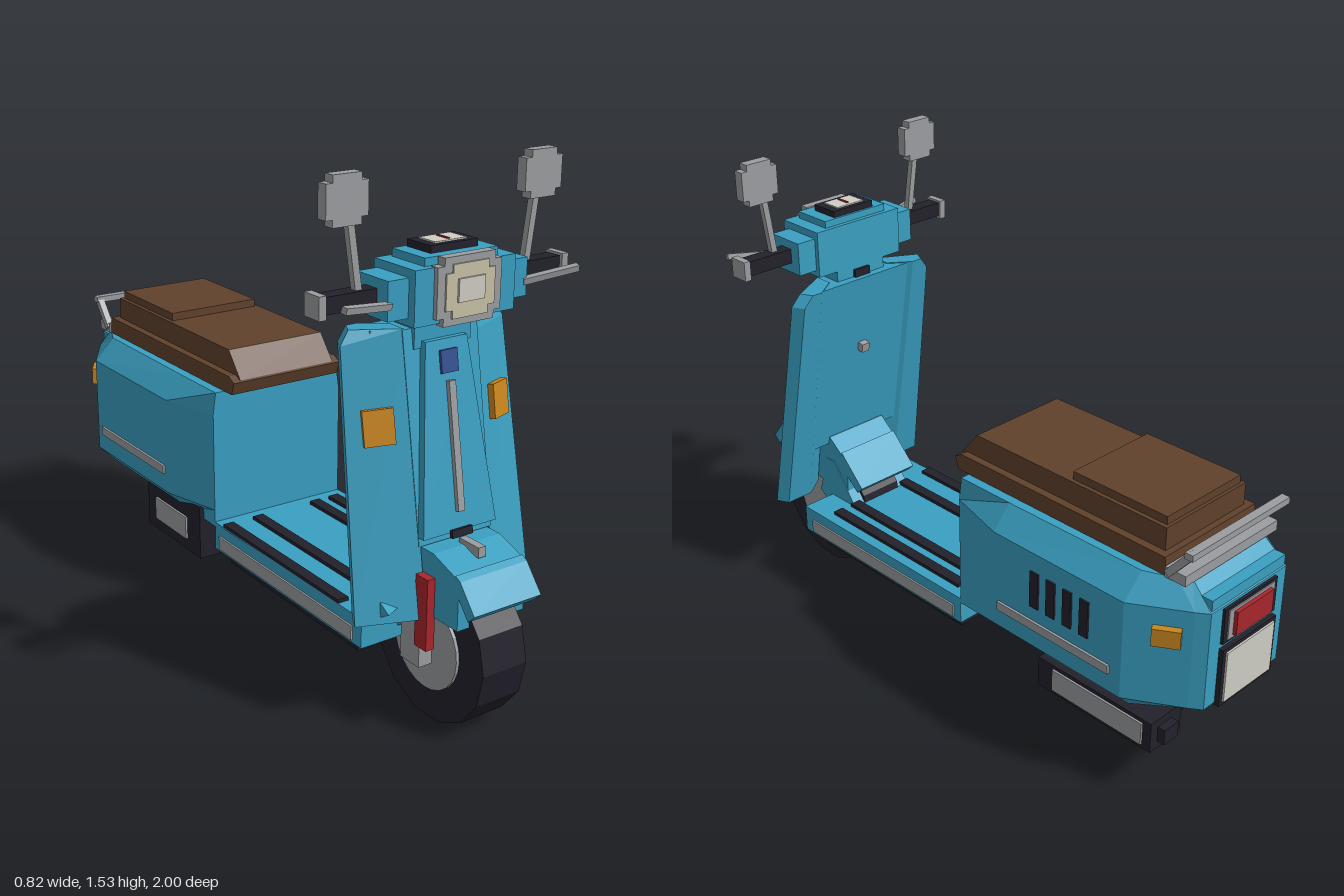
import * as THREE from 'three';

const mat = (name, color) => Object.assign(new THREE.MeshStandardMaterial({ color, flatShading: true }), { name });

export function createModel() {
  const blue = mat('teal paint', 0x3a9fc1), brown = mat('seat leather', 0x5f412b);
  const dark = mat('black rubber', 0x22212b), grey = mat('grey metal', 0x9b9da0);
  const cream = mat('lamp cream', 0xc6c2a6), pale = mat('pale lens', 0xcfcdc4);
  const orange = mat('amber lens', 0xc9861e), red = mat('red lens', 0xa8262c), navy = mat('navy badge', 0x31508f);
  const root = new THREE.Group();
  root.name = 'scooter';

  const add = (name, m, geo, pos = [0, 0, 0], rot = [0, 0, 0]) => {
    const mesh = new THREE.Mesh(geo, m);
    mesh.name = name;
    mesh.position.set(...pos);
    mesh.rotation.set(...rot);
    root.add(mesh);
    return mesh;
  };
  // box from its extents on each axis
  const box = (name, m, x0, x1, y0, y1, z0, z1) =>
    add(name, m, new THREE.BoxGeometry(x1 - x0, y1 - y0, z1 - z0), [(x0 + x1) / 2, (y0 + y1) / 2, (z0 + z1) / 2]);
  const pairBox = (name, m, x0, x1, ...r) => { box(name, m, x0, x1, ...r); box(name, m, -x1, -x0, ...r); };
  // plus-shaped block with stepped corners
  const stepped = (name, m, cx, cy, w, h, step, z0, z1) => {
    box(name, m, cx - w / 2, cx + w / 2, cy - h / 2 + step, cy + h / 2 - step, z0, z1);
    box(name, m, cx - w / 2 + step, cx + w / 2 - step, cy - h / 2, cy + h / 2, z0, z1);
  };
  // side profile of [z, y] points extruded across the width
  const profile = (name, m, pts, w) => {
    const shape = new THREE.Shape(pts.map(([z, y]) => new THREE.Vector2(z, y)));
    const geo = new THREE.ExtrudeGeometry(shape, { depth: w, bevelEnabled: false });
    return add(name, m, geo.translate(0, 0, -w / 2).rotateY(-Math.PI / 2));
  };
  // loft through horizontal rings, bottom to top, each counter-clockwise from above
  const loft = (name, m, rings) => {
    const n = rings[0].length, idx = [], top = (rings.length - 1) * n;
    for (let i = 0; i < rings.length - 1; i++)
      for (let j = 0; j < n; j++) {
        const a = i * n + j, b = i * n + (j + 1) % n;
        idx.push(a, b, b + n, a, b + n, a + n);
      }
    for (let j = 1; j < n - 1; j++) idx.push(top, top + j, top + j + 1, 0, j + 1, j);
    const geo = new THREE.BufferGeometry();
    geo.setAttribute('position', new THREE.Float32BufferAttribute(rings.flat(2), 3));
    geo.setIndex(idx);
    const flat = geo.toNonIndexed();
    flat.computeVertexNormals();
    return add(name, m, flat);
  };
  const rod = (name, m, a, b, t) => {
    const A = new THREE.Vector3(...a), d = new THREE.Vector3(...b).sub(A);
    const mesh = add(name, m, new THREE.BoxGeometry(t, d.length(), t));
    mesh.position.copy(A).addScaledVector(d, 0.5);
    mesh.quaternion.setFromUnitVectors(new THREE.Vector3(0, 1, 0), d.normalize());
  };

  // wheels
  for (const [name, z] of [['front', 0.77], ['rear', -0.565]]) {
    const turn = [0, 0, Math.PI / 2];
    add(name + 'Tyre', dark, new THREE.CylinderGeometry(0.23, 0.23, 0.15, 14), [0, 0.228, z], turn);
    add(name + 'Hub', grey, new THREE.CylinderGeometry(0.133, 0.133, 0.17, 24), [0, 0.228, z], turn);
  }

  // front mudguard, fork and spring
  profile('frontMudguard', blue, [[0.935, 0.345], [0.935, 0.49], [0.83, 0.527], [0.68, 0.527], [0.595, 0.46], [0.595, 0.345]], 0.23);
  profile('mudguardFrontLip', blue, [[0.92, 0.5], [0.92, 0.46], [0.975, 0.39], [1, 0.415], [0.94, 0.49]], 0.23);
  profile('mudguardRearLip', blue, [[0.62, 0.49], [0.52, 0.39], [0.545, 0.365], [0.62, 0.43]], 0.23);
  box('mudguardTrim', grey, -0.012, 0.012, 0.51, 0.54, 0.81, 0.89);
  box('forkArm', grey, -0.13, -0.08, 0.18, 0.34, 0.72, 0.8);
  box('frontSpring', red, -0.14, -0.112, 0.25, 0.46, 0.79, 0.84);

  // floorboard
  box('floorboard', blue, -0.235, 0.235, 0.215, 0.305, -0.09, 0.68);
  profile('toeBoard', blue, [[0.66, 0.305], [0.56, 0.305], [0.66, 0.44], [0.7, 0.44], [0.745, 0.3], [0.69, 0.255]], 0.235);
  box('floorUnderside', dark, -0.2, 0.2, 0.17, 0.216, -0.055, 0.62);
  for (const x of [-0.217, -0.108, 0.108, 0.181]) box('floorStrip', dark, x - 0.018, x + 0.018, 0.3, 0.316, -0.04, 0.57);
  pairBox('floorSideTrim', grey, 0.232, 0.241, 0.225, 0.268, -0.06, 0.64);

  // leg shield, leaning back as it rises
  const zf = y => 0.815 - (y - 0.33) * 0.165;
  const lean = -0.163;
  for (const s of [1, -1]) {
    const rings = [[0.33, 0.305], [1.07, 0.275], [1.108, 0.245]].map(([y, w]) => {
      const r = [[w, zf(y) - 0.07], [w - 0.02, zf(y) - 0.11], [0.19, zf(y) - 0.11], [0.12, zf(y) - 0.06], [0.12, zf(y)]]
        .map(([x, z]) => [x * s, y, z]);
      return s > 0 ? r : r.reverse();
    });
    loft('legShieldWing', blue, rings);
    add('frontIndicator', orange, new THREE.BoxGeometry(0.085, 0.097, 0.03), [s * 0.203, 0.858, zf(0.858) - 0.034], [lean, s * 0.4, 0]);
    add('wingBump', blue, new THREE.ConeGeometry(0.026, 0.055, 3), [s * 0.21, 0.37, zf(0.37) - 0.032], [0, 0, s * Math.PI / 2]);
  }
  const slab = (y, w, back, front) => [[w, y, zf(y) + back], [-w, y, zf(y) + back], [-w, y, zf(y) + front], [w, y, zf(y) + front]];
  loft('legShieldCentre', blue, [slab(0.5, 0.2, -0.1, -0.04), slab(1.105, 0.2, -0.1, -0.04)]);
  loft('legShieldInfill', blue, [slab(0.53, 0.125, -0.05, 0), slab(1.105, 0.125, -0.05, 0)]);
  loft('centreRidge', blue, [slab(0.555, 0.125, -0.02, 0.022), slab(1.07, 0.07, -0.02, 0.022)]);
  const plate = (name, m, y, w, h, d = 0.012) => add(name, m, new THREE.BoxGeometry(w, h, d), [0, y, zf(y) + 0.026], [lean, 0, 0]);
  plate('ridgeTrim', grey, 0.785, 0.022, 0.355, 0.018);
  plate('badgePlate', navy, 1.012, 0.056, 0.062, 0.008);
  plate('hornSlot', dark, 0.552, 0.07, 0.022);
  add('bagHook', grey, new THREE.BoxGeometry(0.03, 0.03, 0.025), [0, 0.85, zf(0.85) - 0.11], [lean, 0, 0]);

  // steering head
  box('neck', blue, -0.095, 0.095, 1.05, 1.15, 0.615, 0.7);
  box('keySlot', dark, -0.03, 0.03, 1.1, 1.13, 0.605, 0.62);
  box('headCentre', blue, -0.12, 0.12, 1.14, 1.31, 0.63, 0.765);
  box('headMiddle', blue, -0.165, 0.165, 1.14, 1.288, 0.615, 0.785);
  box('headOuter', blue, -0.23, 0.23, 1.16, 1.265, 0.63, 0.76);
  stepped('headlightFrame', grey, 0, 1.222, 0.21, 0.18, 0.022, 0.77, 0.799);
  stepped('headlight', cream, 0, 1.222, 0.16, 0.142, 0.022, 0.775, 0.804);
  box('headlightBulb', pale, -0.043, 0.043, 1.193, 1.255, 0.79, 0.81);
  box('gaugeFrame', dark, -0.078, 0.078, 1.305, 1.33, 0.638, 0.735);
  box('gaugeFace', pale, -0.052, 0.052, 1.325, 1.334, 0.652, 0.72);
  box('gaugeNeedle', red, -0.004, 0.004, 1.33, 1.337, 0.665, 0.71);

  // handlebar ends, levers and mirrors
  pairBox('grip', dark, 0.22, 0.395, 1.192, 1.238, 0.668, 0.715);
  pairBox('gripEnd', grey, 0.39, 0.412, 1.183, 1.245, 0.66, 0.725);
  for (const s of [1, -1]) {
    rod('brakeLever', grey, [s * 0.22, 1.2, 0.755], [s * 0.385, 1.222, 0.79], 0.018);
    rod('mirrorStalk', grey, [s * 0.278, 1.23, 0.695], [s * 0.305, 1.42, 0.693], 0.02);
    stepped('mirror', grey, s * 0.32, 1.47, 0.128, 0.13, 0.02, 0.676, 0.71);
  }

  // rear body
  const plan = (y, half) => [...half, ...half.map(([x, z]) => [-x, z]).reverse()].map(([x, z]) => [x, y, z]);
  const full = [[0.235, -0.09], [0.288, -0.29], [0.288, -0.78], [0.19, -0.94], [0.165, -0.975]];
  loft('rearBody', blue, [
    plan(0.29, [[0.235, -0.09], [0.235, -0.29], [0.235, -0.77], [0.19, -0.8], [0.165, -0.82]]),
    plan(0.345, full),
    plan(0.66, full),
    plan(0.73, [[0.225, -0.09], [0.225, -0.29], [0.22, -0.78], [0.18, -0.87], [0.155, -0.9]]),
  ]);
  box('tailTop', blue, -0.16, 0.16, 0.6, 0.697, -0.972, -0.8);
  pairBox('bodySideTrim', grey, 0.284, 0.296, 0.406, 0.434, -0.74, -0.31);
  for (let i = 0; i < 4; i++) {
    const z = -0.455 - i * 0.063;
    box('coolingSlot', dark, 0.284, 0.294, 0.482, 0.6, z - 0.016, z + 0.016);
  }
  for (const s of [1, -1])
    add('rearIndicator', orange, new THREE.BoxGeometry(0.03, 0.055, 0.08), [s * 0.232, 0.577, -0.885], [0, s * 0.55, 0]);
  box('tailLightFrame', dark, -0.115, 0.115, 0.54, 0.652, -0.984, -0.96);
  box('tailLightRim', grey, -0.1, 0.1, 0.55, 0.643, -0.988, -0.97);
  box('tailLight', red, -0.08, 0.08, 0.56, 0.635, -1, -0.97);
  box('plateBacking', dark, -0.118, 0.118, 0.337, 0.525, -0.99, -0.96);
  box('ratingPlate', pale, -0.105, 0.105, 0.35, 0.513, -0.996, -0.985);
  box('rearMudguard', dark, -0.09, 0.09, 0.315, 0.35, -0.84, -0.75);

  // seat
  profile('seatBase', brown, [[-0.045, 0.73], [-0.032, 0.77], [-0.06, 0.785], [-0.835, 0.785], [-0.84, 0.73]], 0.39);
  profile('seatCushion', brown, [[-0.035, 0.775], [-0.1, 0.855], [-0.815, 0.855], [-0.815, 0.775]], 0.34);
  box('passengerCushion', brown, -0.157, 0.157, 0.85, 0.88, -0.805, -0.47);

  // rear rack
  box('rackBase', grey, -0.2, 0.2, 0.73, 0.762, -0.91, -0.84);
  box('rackRail', grey, -0.21, 0.21, 0.822, 0.842, -0.935, -0.908);
  for (const s of [1, -1]) rod('rackStrut', grey, [s * 0.195, 0.745, -0.85], [s * 0.195, 0.835, -0.925], 0.022);

  // engine and exhaust
  box('engine', dark, -0.25, -0.07, 0.155, 0.33, -0.5, -0.16);
  box('engineBlock', dark, -0.1, 0.1, 0.155, 0.3, -0.34, -0.16);
  box('engineCover', grey, -0.257, -0.24, 0.195, 0.27, -0.44, -0.24);
  box('exhaust', dark, 0.11, 0.24, 0.17, 0.27, -0.86, -0.43);
  box('exhaustPlate', grey, 0.13, 0.247, 0.185, 0.258, -0.83, -0.49);
  box('exhaustTip', dark, 0.15, 0.21, 0.195, 0.245, -0.885, -0.85);
  return root;
}
